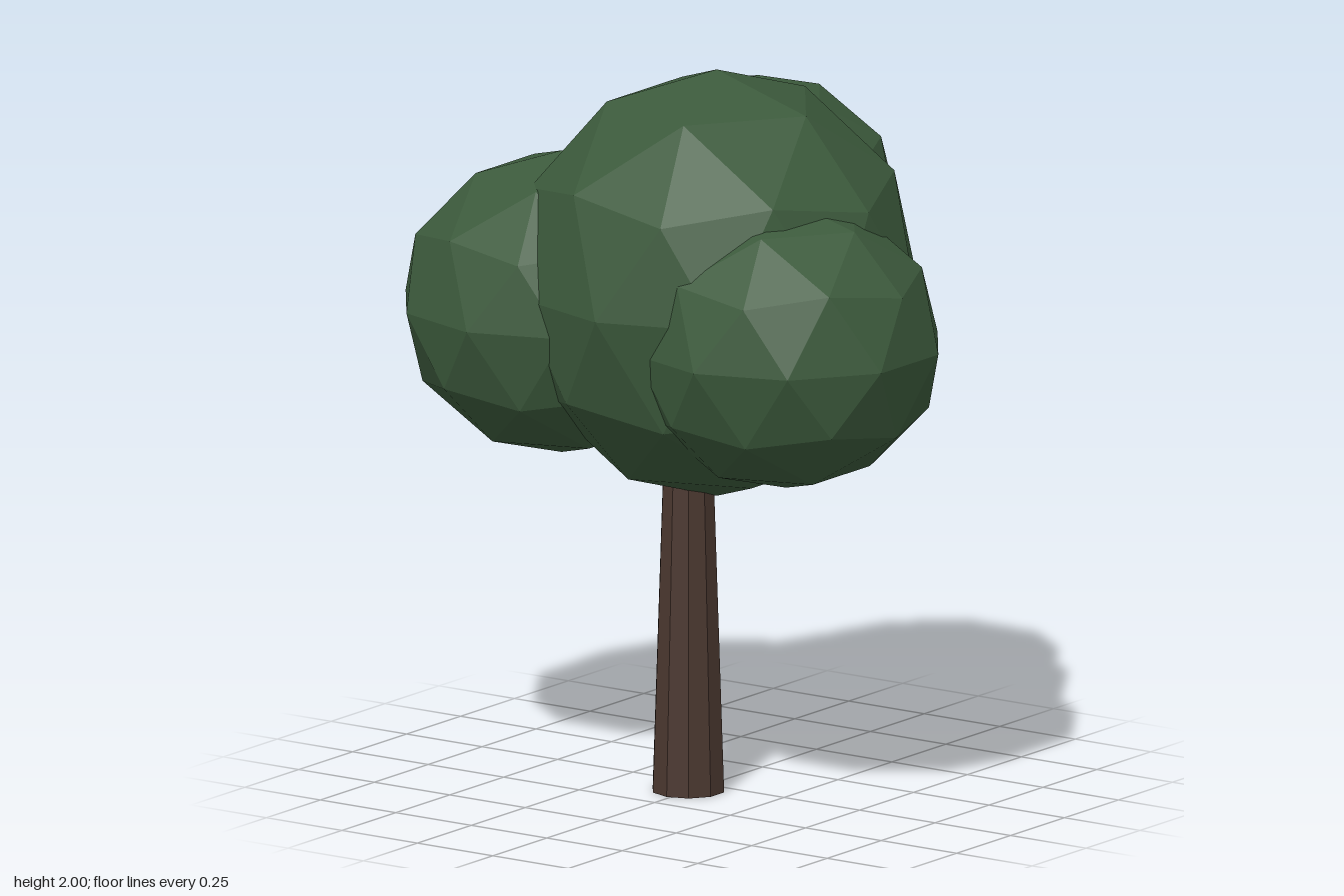
import * as THREE from 'three';

const leafGreen = new THREE.MeshStandardMaterial({ color: 0x3c5a3c, flatShading: true });
leafGreen.name = 'leafGreen';
const barkBrown = new THREE.MeshStandardMaterial({ color: 0x4b3830, flatShading: true });
barkBrown.name = 'barkBrown';

// Faceted leaf ball, turned so that one corner points straight up
function leafBall(name, [x, y, z], radius, halfHeight) {
  const geometry = new THREE.IcosahedronGeometry(1, 1);
  geometry.rotateZ(-Math.atan(2 / (1 + Math.sqrt(5))));
  geometry.scale(radius, halfHeight, radius);
  const ball = new THREE.Mesh(geometry, leafGreen);
  ball.name = name;
  ball.position.set(x, y, z);
  return ball;
}

export function createModel() {
  const tree = new THREE.Group();
  tree.name = 'tree';

  // Tapered ten-sided trunk, its top hidden in the crown
  const height = 1.1;
  const trunk = new THREE.Mesh(new THREE.CylinderGeometry(0.064, 0.101, height, 10), barkBrown);
  trunk.name = 'trunk';
  trunk.position.set(-0.011, height / 2, 0.078);
  tree.add(trunk);

  // Crown of four overlapping leaf balls
  tree.add(
    leafBall('mainCrown', [0.058, 1.409, 0.044], 0.563, 0.591),
    leafBall('rightCrown', [-0.372, 1.32, 0.16], 0.441, 0.418),
    leafBall('leftCrown', [0.382, 1.312, 0.175], 0.43, 0.4),
    leafBall('backCrown', [0.008, 1.566, -0.218], 0.39, 0.36),
  );
  return tree;
}
